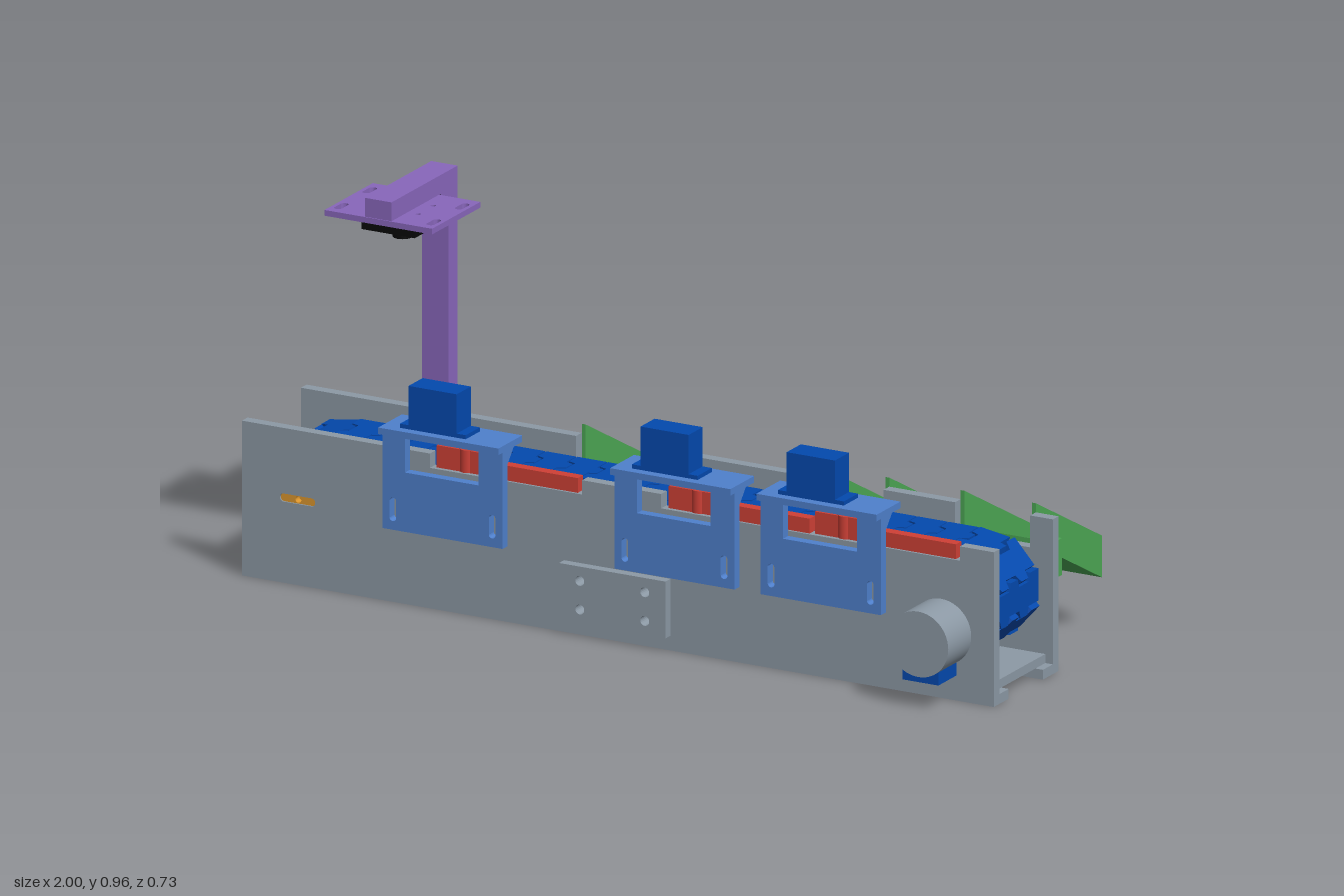
import * as THREE from 'three';

const mat = (name, color) => {
  const m = new THREE.MeshStandardMaterial({ color });
  m.name = name;
  return m;
};

export function createModel() {
  const root = new THREE.Group();
  root.name = 'sortingConveyor';
  const M = {
    steel: mat('steel grey', 0x8c99a5),
    belt: mat('belt blue', 0x0349ae),
    bracket: mat('bracket blue', 0x4f80cc),
    purple: mat('purple', 0x8866bb),
    green: mat('green', 0x4ca654),
    red: mat('red', 0xcf4036),
    black: mat('black', 0x070707),
    brass: mat('brass orange', 0xdc962e),
  };

  const add = (name, geo, material, parent = root) => {
    const m = new THREE.Mesh(geo, material);
    m.name = name;
    parent.add(m);
    return m;
  };
  const group = (name, x = 0) => {
    const g = new THREE.Group();
    g.name = name;
    g.position.x = x;
    root.add(g);
    return g;
  };
  // box from its limits
  const box = (name, material, x0, x1, y0, y1, z0, z1, parent) => add(name,
    new THREE.BoxGeometry(x1 - x0, y1 - y0, z1 - z0)
      .translate((x0 + x1) / 2, (y0 + y1) / 2, (z0 + z1) / 2), material, parent);
  // cylinder along z
  const rod = (name, material, x, y, r, z0, z1, parent, seg = 32) => add(name,
    new THREE.CylinderGeometry(r, r, z1 - z0, seg).rotateX(Math.PI / 2)
      .translate(x, y, (z0 + z1) / 2), material, parent);
  const rect = (x0, x1, y0, y1) => [[x0, y0], [x1, y0], [x1, y1], [x0, y1]];
  // outline of a round hole, or a slot stretched by dx or dy
  const slot = ([x, y, r, dx = 0, dy = 0], n = 20) => Array.from({ length: n }, (_, i) => {
    const a = ((i + 0.5) / n) * Math.PI * 2;
    const c = Math.cos(a), s = Math.sin(a);
    return [x + r * c + Math.sign(c) * dx, y + r * s + Math.sign(s) * dy];
  });
  const vec = (pts) => pts.map(([x, y]) => new THREE.Vector2(x, y));
  const plateGeo = (outline, depth, holes = [], windows = []) => {
    const s = new THREE.Shape(vec(outline));
    for (const h of [...holes.map((d) => slot(d)), ...windows]) s.holes.push(new THREE.Path(vec(h)));
    return new THREE.ExtrudeGeometry(s, { depth, bevelEnabled: false });
  };
  // plate facing z, profile (z, y) extruded along x, and flat plate (x, -z)
  const plateZ = (name, m, outline, z0, z1, holes, parent, windows) =>
    add(name, plateGeo(outline, z1 - z0, holes, windows).translate(0, 0, z0), m, parent);
  const profileX = (name, m, outline, x0, x1, parent) =>
    add(name, plateGeo(outline, x1 - x0).rotateY(-Math.PI / 2).translate(x1, 0, 0), m, parent);
  const plateY = (name, m, outline, y0, y1, holes, parent) =>
    add(name, plateGeo(outline, y1 - y0, holes).rotateX(-Math.PI / 2).translate(0, y0, 0), m, parent);

  // ---- frame: notched side walls with flanges, joined by cross plates
  const frame = group('frame');
  const chutes = [-0.168, 0.45, 0.84];
  const half = 0.852, cy = 0.208;
  const joinHoles = [[-0.088, 0.14, 0.012], [0.085, 0.14, 0.012], [-0.088, 0.07, 0.012], [0.085, 0.07, 0.012]];
  const wallHoles = [...joinHoles, [-half, cy, 0.01, 0.037, 0]];
  const wallOutline = (notches, floorY) => {
    const pts = [[-1, 0], [1, 0], [1, 0.378]];
    [...notches].reverse().forEach(([a, b]) =>
      pts.push([b, 0.378], [b, floorY], [a, floorY], [a, 0.378]));
    pts.push([-1, 0.378]);
    return pts;
  };
  plateZ('frontWall', M.steel, wallOutline([[-0.5, -0.095], [0.115, 0.91]], 0.343),
    0.229, 0.256, wallHoles, frame);
  plateZ('backWall', M.steel, wallOutline(chutes.map((c) => [c - 0.1, c + 0.1]), 0.3),
    -0.051, -0.024, wallHoles, frame);
  const footHoles = (z) => [-0.92, -0.46, 0, 0.46, 0.92].map((x) => [x, -z, 0.012]);
  plateY('frontFlange', M.steel, rect(-1, 1, -0.229, -0.185), 0, 0.024, footHoles(0.205), frame);
  plateY('backFlange', M.steel, rect(-1, 1, -0.023, 0.024), 0, 0.024, footHoles(0.002), frame);
  for (const x of [-0.92, -0.46, 0, 0.46, 0.92]) {
    box('crossPlate', M.steel, x - 0.06, x + 0.06, 0.024, 0.046, -0.024, 0.229, frame);
  }
  plateZ('frontJoinPlate', M.steel, rect(-0.143, 0.14, 0.036, 0.175), 0.256, 0.28, joinHoles, frame);
  plateZ('backJoinPlate', M.steel, rect(-0.143, 0.14, 0.036, 0.175), -0.074, -0.051, joinHoles, frame);
  for (const x of [-0.6, -0.2, 0.2, 0.6]) {
    rod('supportRod', M.steel, x, 0.295, 0.009, -0.024, 0.229, frame, 16);
  }

  // ---- belt: castellated links along a stadium path
  const belt = group('belt');
  const R = 0.113, count = 50;
  const length = 4 * half + 2 * Math.PI * R;
  const pathAt = (s) => {
    s %= length;
    const arc = Math.PI * R;
    if (s < 2 * half) return new THREE.Vector2(-half + s, cy + R);
    s -= 2 * half;
    if (s < arc) return new THREE.Vector2(half + R * Math.sin(s / R), cy + R * Math.cos(s / R));
    s -= arc;
    if (s < 2 * half) return new THREE.Vector2(half - s, cy - R);
    s -= 2 * half;
    return new THREE.Vector2(-half - R * Math.sin(s / R), cy - R * Math.cos(s / R));
  };
  const pitch = length / count, fingers = 5, fw = 0.228 / fingers;
  // start with a flat link facing the middle of each end
  const phase = (2 * half + Math.PI * R / 2) / pitch - 22.5;
  const lower = [], upper = [];
  for (let i = 0; i < fingers; i++) {
    const off = i % 2 ? 0.01 : -0.01, w0 = -0.218 + i * fw, w1 = w0 + fw;
    const near = i % 2 ? 0.007 : 0, far = i % 2 ? 0 : 0.007;
    const edge = (list, u, gap) => list.push(
      [u, i ? w0 + gap : w0], [u, i < fingers - 1 ? w1 - gap : w1]);
    edge(lower, off, far);
    edge(upper, off + pitch - 0.003, near);
  }
  const linkGeo = plateGeo([...upper, ...lower.reverse()], 0.024)
    .rotateX(-Math.PI / 2).translate(0, -0.012, 0);
  for (let i = 0; i < count; i++) {
    const p = pathAt((i + phase) * pitch), q = pathAt((i + 1 + phase) * pitch);
    const link = add('beltLink', linkGeo, M.belt, belt);
    link.position.set(p.x, p.y, 0);
    link.rotation.z = Math.atan2(q.y - p.y, q.x - p.x);
  }
  // belt underlay on both runs
  for (const y of [cy + 0.095, cy - 0.101]) {
    box('beltUnderlay', M.belt, -half, half, y, y + 0.006, -0.008, 0.216, belt);
  }
  // end drums, drive shaft and hollow idler shaft ends in the wall slots
  for (const x of [-half, half]) {
    plateZ('drum', M.brass, slot([x, cy, 0.099], 40), -0.006, 0.214, [[x, cy, 0.008]], belt);
  }
  rod('driveShaft', M.brass, half, cy, 0.03, 0.21, 0.229, belt);
  for (const z of [-0.047, 0.233]) {
    plateZ('idlerShaftEnd', M.brass, slot([-half, cy, 0.01, 0.037, 0]), z, z + 0.019,
      [[-half, cy, 0.008]], belt);
  }

  // ---- drive motor
  const motor = group('motor');
  rod('motorBody', M.steel, 0.86, 0.162, 0.08, 0.256, 0.365, motor, 48);
  box('motorTerminal', M.belt, 0.813, 0.908, 0.066, 0.1, 0.27, 0.355, motor);

  // ---- three pusher stations on the front wall
  for (const x of [-0.613, 0.004, 0.393]) {
    const g = group('pusherStation', x);
    plateZ('servoBracket', M.bracket, rect(0, 0.32, 0.185, 0.421), 0.256, 0.28,
      [[0.028, 0.235, 0.009, 0, 0.02], [0.292, 0.235, 0.009, 0, 0.02]], g,
      [rect(0.06, 0.256, 0.33, 0.4205)]);
    box('bracketTop', M.bracket, 0, 0.32, 0.42, 0.436, 0.187, 0.3, g);
    for (const gx of [0, 0.3]) {
      profileX('bracketGusset', M.bracket, [[0.226, 0.421], [0.257, 0.385], [0.257, 0.421]],
        gx, gx + 0.02, g);
    }
    box('servoBody', M.belt, 0.068, 0.196, 0.436, 0.542, 0.21, 0.277, g);
    box('servoEars', M.belt, 0.045, 0.22, 0.436, 0.446, 0.21, 0.277, g);
    box('servoBase', M.belt, 0.07, 0.195, 0.412, 0.421, 0.212, 0.275, g);
    box('pusherBlock', M.red, 0.125, 0.26, 0.343, 0.397, 0.21, 0.245, g);
    add('pusherPivot', new THREE.CylinderGeometry(0.02, 0.02, 0.055, 24), M.red, g)
      .position.set(0.2, 0.3705, 0.23);
    box('pusherArm', M.red, 0.255, 0.503, 0.343, 0.379, 0.224, 0.25, g);
  }

  // ---- sloping chutes behind the back wall
  for (const x of chutes) {
    const g = group('chute', x);
    const strip = (top) => [[-0.051, 0.298 + top], [-0.365, 0.129 + top], [-0.365, 0.129], [-0.051, 0.298]];
    profileX('chuteFloor', M.green, strip(0.014), -0.1, 0.1, g);
    for (const sx of [-0.1, 0.09]) profileX('chuteSide', M.green, strip(0.102), sx, sx + 0.01, g);
    plateZ('chuteFlange', M.green, [[-0.16, 0.23], [0.16, 0.23], [0.16, 0.32],
      [0.1, 0.32], [0.1, 0.29], [-0.1, 0.29], [-0.1, 0.32], [-0.16, 0.32]], -0.068, -0.051,
    [[-0.13, 0.275, 0.011], [0.13, 0.275, 0.011]], g);
  }

  // ---- camera mast
  const mast = group('cameraMast', -0.658);
  profileX('mastPost', M.purple, [[-0.095, 0.048], [-0.051, 0.048], [-0.051, 0.847], [-0.015, 0.915],
    [0.219, 0.915], [0.219, 0.961], [-0.095, 0.961]], -0.035, 0.035, mast);
  const plateHoles = [];
  for (const sx of [-0.123, 0.123]) {
    for (const z of [0.04, 0.175]) plateHoles.push([sx, -z, 0.01, 0, 0.014]);
    for (const z of [0.068, 0.14]) plateHoles.push([sx / 2, -z, 0.006]);
  }
  plateY('cameraPlate', M.purple, rect(-0.143, 0.143, -0.219, 0.01), 0.9, 0.914, plateHoles, mast);
  box('cameraBody', M.black, -0.071, 0.071, 0.866, 0.9, 0.036, 0.173, mast);
  add('cameraLens', new THREE.CylinderGeometry(0.023, 0.023, 0.026, 24), M.black, mast)
    .position.set(0, 0.853, 0.104);
  return root;
}
